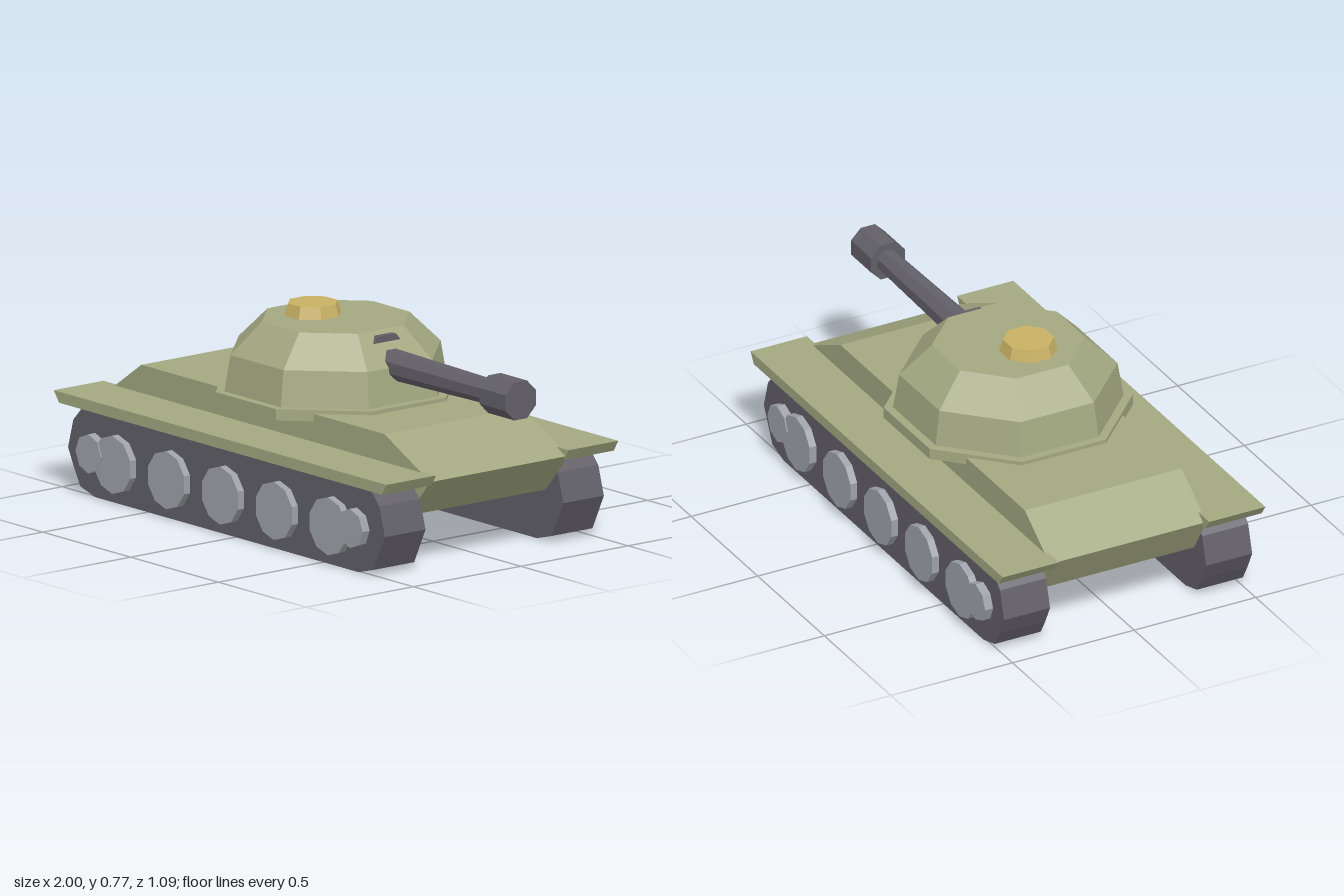
import * as THREE from 'three';

const mat = (name, color) => {
  const m = new THREE.MeshStandardMaterial({ color });
  m.name = name;
  return m;
};

// Faceted normals for low-poly parts
function faceted(geo) {
  const g = geo.index ? geo.toNonIndexed() : geo;
  g.computeVertexNormals();
  return g;
}

// Side profile in x/y, extruded from z0 to z1
function slab(points, z0, z1) {
  const shape = new THREE.Shape(points.map(([x, y]) => new THREE.Vector2(x, y)));
  const g = new THREE.ExtrudeGeometry(shape, { depth: z1 - z0, bevelEnabled: false });
  return faceted(g.translate(0, 0, z0));
}

// Octagonal frustum with flats on the axes, sized by its half-widths
function octagon(bottom, top, y0, y1) {
  const k = 1 / Math.cos(Math.PI / 8);
  const g = new THREE.CylinderGeometry(top * k, bottom * k, y1 - y0, 8);
  g.rotateY(Math.PI / 8).translate(0, (y0 + y1) / 2, 0);
  return faceted(g);
}

export function createModel() {
  const olive = mat('olive paint', 0xa3a881);
  const gunmetal = mat('gunmetal', 0x625f68);
  const steel = mat('wheel steel', 0x9ea2a8);
  const brass = mat('brass', 0xc8b063);

  const model = new THREE.Group();
  model.name = 'tank';
  const add = (parent, name, geo, material) => {
    const mesh = new THREE.Mesh(geo, material);
    mesh.name = name;
    parent.add(mesh);
    return mesh;
  };

  // Hull with sloped front and rear plates
  add(model, 'hull', slab([
    [-0.865, 0.19], [0.75, 0.19], [0.878, 0.338], [0.618, 0.468],
    [-0.768, 0.468], [-0.955, 0.338],
  ], -0.322, 0.322), olive);

  // Running gear, same on both sides
  const trackProfile = [
    [-0.8, 0], [0.7, 0], [0.785, 0.024], [0.815, 0.085], [0.85, 0.157],
    [0.818, 0.265], [0.765, 0.322], [-0.87, 0.322], [-0.925, 0.265],
    [-0.955, 0.157], [-0.92, 0.085], [-0.885, 0.024],
  ];
  const fenderProfile = [[-0.97, 0.323], [0.87, 0.323], [0.895, 0.364], [-1, 0.364]];
  for (const s of [1, -1]) {
    const side = new THREE.Group();
    side.name = s > 0 ? 'frontRunningGear' : 'backRunningGear';
    model.add(side);
    const span = (a, b) => (s > 0 ? [a, b] : [-b, -a]);
    add(side, 'track', slab(trackProfile, ...span(0.321, 0.51)), gunmetal);
    add(side, 'fender', slab(fenderProfile, ...span(0.309, 0.54)), olive);

    const wheel = (name, x, y, r, sides, outer) => {
      const g = new THREE.CylinderGeometry(r, r, outer - 0.5, sides);
      g.rotateX(Math.PI / 2).translate(x, y, s * (outer + 0.5) / 2);
      add(side, name, faceted(g), steel);
    };
    for (let i = 0; i < 5; i++) wheel('roadWheel', -0.67 + i * 0.307, 0.148, 0.108, 10, 0.538);
    for (const x of [-0.8, 0.69]) wheel('endWheel', x, 0.165, 0.073, 8, 0.543);
  }

  // Turret: ring, lower wall and sloped roof
  const turret = new THREE.Group();
  turret.name = 'turret';
  turret.position.x = -0.055;
  model.add(turret);
  add(turret, 'turretRing', octagon(0.418, 0.418, 0.44, 0.482), olive);
  add(turret, 'turretWall', octagon(0.387, 0.366, 0.48, 0.615), olive);
  add(turret, 'turretRoof', octagon(0.366, 0.257, 0.615, 0.73), olive);

  // Commander's hatch
  const hatch = add(turret, 'hatch', octagon(0.099, 0.086, 0.728, 0.775), brass);
  hatch.position.set(-0.087, 0, 0.035);

  // Gun pointing along +x
  const gun = new THREE.Group();
  gun.name = 'gun';
  gun.position.y = 0.615;
  gun.rotation.z = -Math.PI / 2;
  model.add(gun);
  add(gun, 'barrel', octagon(0.053, 0.042, 0.22, 0.87), gunmetal);
  add(gun, 'muzzle', octagon(0.07, 0.07, 0.85, 1), gunmetal);

  // Sight block above the gun
  const sight = slab([[-0.063, 0.692], [0.063, 0.692], [0.042, 0.716], [-0.042, 0.716]], 0.19, 0.238);
  add(model, 'sight', sight.rotateY(Math.PI / 2), gunmetal);

  return model;
}
